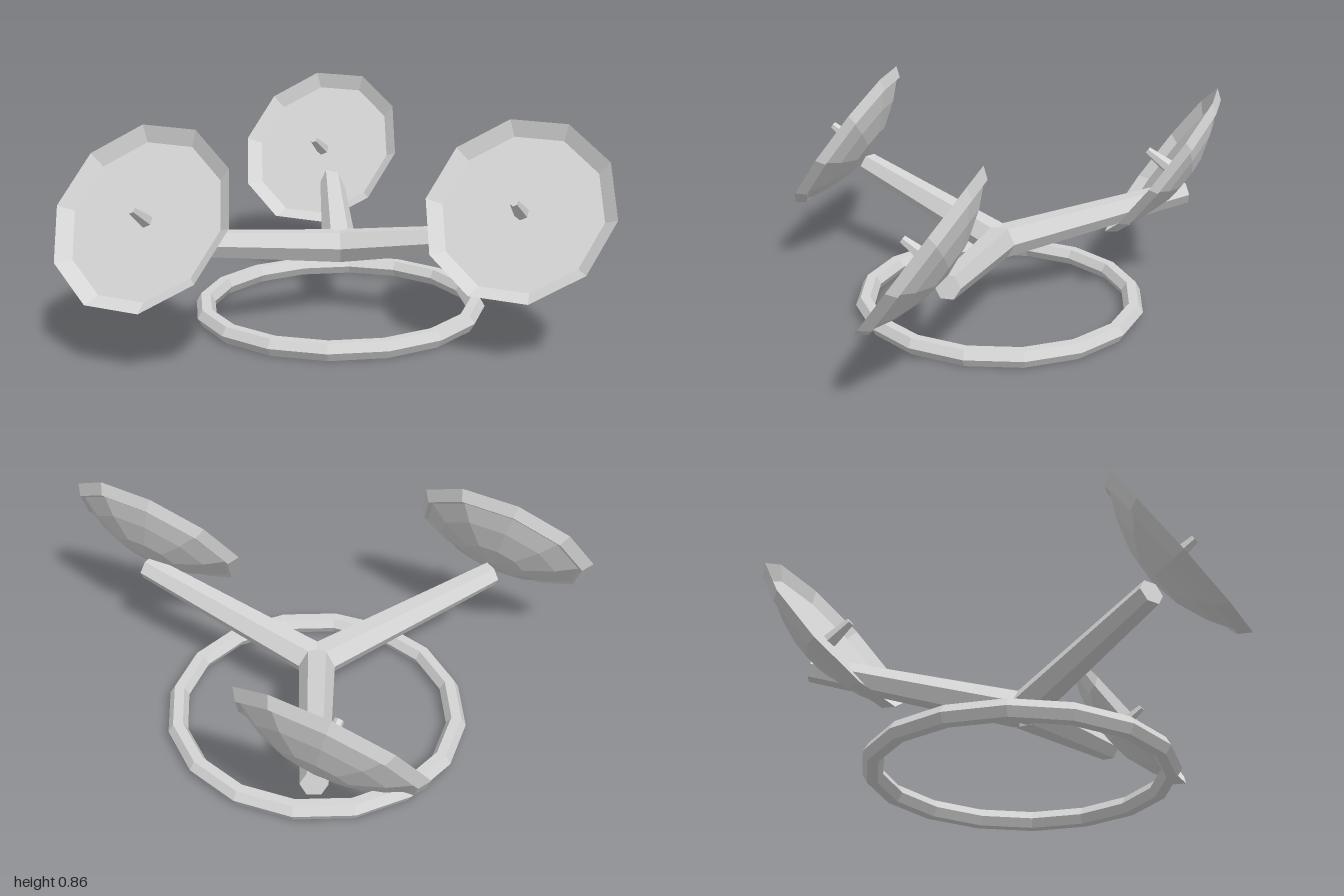
import * as THREE from 'three';

const HUB = new THREE.Vector3(-0.205, 0.288, -0.106);
const REACH = 0.82;  // horizontal arm length
const RISE = 0.145;  // arm tip height above the hub

export function createModel() {
  const model = new THREE.Group();
  const grey = new THREE.MeshStandardMaterial({ color: 0xd4d4d4, flatShading: true });
  grey.name = 'light grey metal';

  const add = (parent, name, geometry) => {
    const mesh = new THREE.Mesh(geometry, grey);
    mesh.name = name;
    parent.add(mesh);
    return mesh;
  };

  // Flat hexagonal-section ring on the ground
  const ring = add(model, 'baseRing', new THREE.TorusGeometry(0.568, 0.04, 6, 16));
  ring.rotation.x = Math.PI / 2;
  ring.position.set(HUB.x, 0.035, HUB.z);

  // Shallow bowl: faceted back, stepped rim, recessed flat front
  const dishProfile = [
    [0, -0.137], [0.13, -0.122], [0.253, -0.081], [0.336, -0.038],
    [0.354, -0.042], [0.385, 0], [0.327, -0.04], [0, -0.04],
  ].map(([r, y]) => new THREE.Vector2(r, y));
  const dishGeometry = new THREE.LatheGeometry(dishProfile, 10, Math.PI / 2);
  const feedGeometry = new THREE.CylinderGeometry(0.017, 0.03, 0.11, 6);

  // Tapered hexagonal arm, running from the hub along +x and upwards
  const length = Math.hypot(REACH, RISE);
  const armGeometry = new THREE.CylinderGeometry(0.05, 0.072, length, 6);
  armGeometry.translate(0, length / 2, 0);
  armGeometry.rotateZ(Math.atan2(RISE, REACH) - Math.PI / 2);

  ['left', 'backRight', 'frontRight'].forEach((side, i) => {
    const angle = (i * 2 * Math.PI) / 3;
    const arm = add(model, side + 'Arm', armGeometry);
    arm.position.copy(HUB);
    arm.rotation.y = angle;

    // Every dish faces the front, tilted upwards, with its back on the arm tip
    const dish = new THREE.Group();
    dish.name = side + 'Dish';
    dish.position.set(
      HUB.x + REACH * Math.cos(angle),
      0.562,
      HUB.z - REACH * Math.sin(angle) + 0.108
    );
    dish.rotation.x = THREE.MathUtils.degToRad(55.2);
    add(dish, 'bowl', dishGeometry);
    add(dish, 'feedHorn', feedGeometry).position.y = 0.016;
    model.add(dish);
  });

  return model;
}
